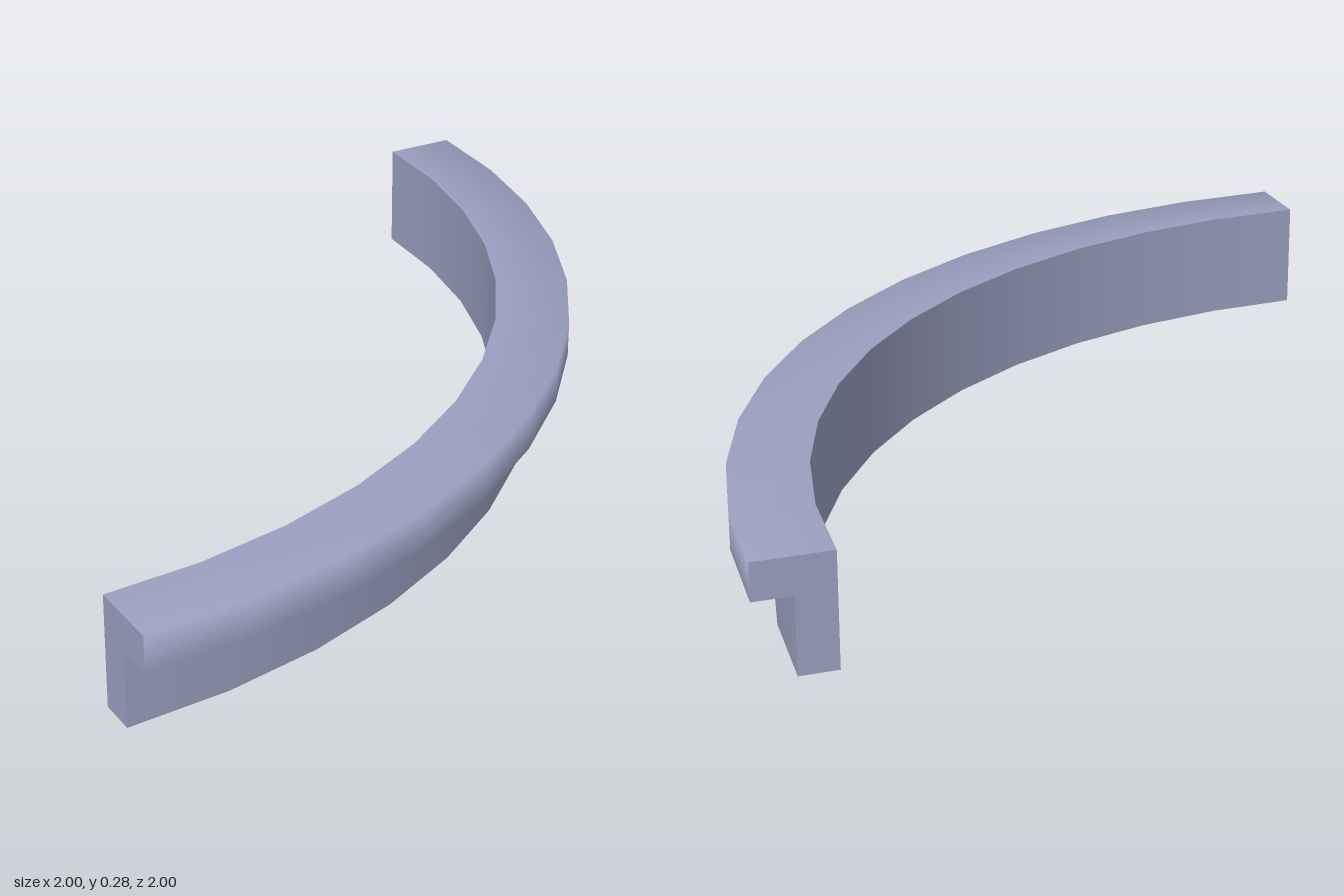
import * as THREE from 'three';

const INNER = 1.815, WALL = 1.907, OUTER = 2;
const LEDGE = 0.185, TOP = 0.275;
const SEGMENTS = 12;

export function createModel() {
  const model = new THREE.Group();
  model.name = 'curvedEdgeTrim';
  const paint = new THREE.MeshStandardMaterial({ color: 0x9aa0c0 });
  paint.name = 'blue grey';

  // The arc is a quarter turn about the back left corner
  const arc = new THREE.Group();
  arc.name = 'quarterArc';
  arc.position.set(-1, 0, -1);
  model.add(arc);

  const add = (name, geometry) => {
    const mesh = new THREE.Mesh(geometry, paint);
    mesh.name = name;
    arc.add(mesh);
    return mesh;
  };
  const sweep = (name, points) => add(name, new THREE.LatheGeometry(
    points.map(([r, y]) => new THREE.Vector2(r, y)), SEGMENTS, 0, Math.PI / 2));

  // Swept faces; the cap's top and outer side share smooth normals
  sweep('wallBottom', [[INNER, 0], [WALL, 0]]);
  sweep('wallOuterFace', [[WALL, 0], [WALL, LEDGE]]);
  sweep('capUnderside', [[WALL, LEDGE], [OUTER, LEDGE]]);
  sweep('capTopAndEdge', [[OUTER, LEDGE], [OUTER, TOP], [INNER, TOP]]);
  sweep('wallInnerFace', [[INNER, TOP], [INNER, 0]]);

  // L-shaped ends
  const section = (side) => new THREE.ShapeGeometry(new THREE.Shape([
    [INNER, 0], [WALL, 0], [WALL, LEDGE], [OUTER, LEDGE], [OUTER, TOP], [INNER, TOP],
  ].map(([r, y]) => new THREE.Vector2(side * r, y))));
  add('leftHandEnd', section(-1)).rotation.y = Math.PI; // faces back
  add('rightHandEnd', section(1)).rotation.y = -Math.PI / 2; // faces -x

  return model;
}
